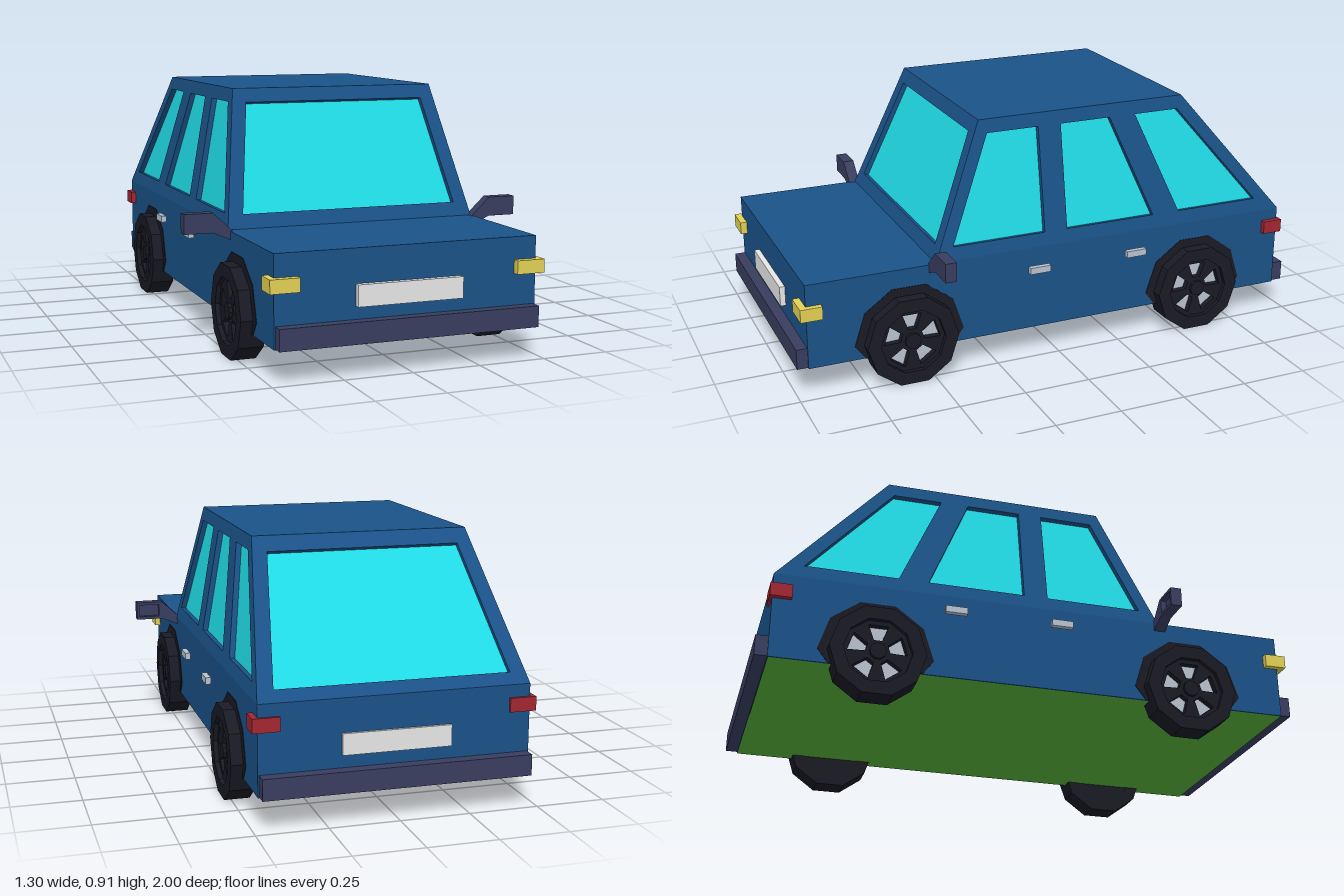
import * as THREE from 'three';

const mat = (name, color) => {
  const m = new THREE.MeshStandardMaterial({ color });
  m.name = name;
  return m;
};

// Counter-clockwise shape from [a, b] pairs, whichever way they run
const toShape = (pts) => {
  const v = pts.map(([a, b]) => new THREE.Vector2(a, b));
  return new THREE.Shape(THREE.ShapeUtils.isClockWise(v) ? v.reverse() : v);
};

export function createModel() {
  const paint = mat('bluePaint', 0x1a5288);
  const glass = mat('cyanGlass', 0x20dbe6);
  const trim = mat('slateTrim', 0x393d5f);
  const rubber = mat('blackRubber', 0x191a24);
  const alloy = mat('greyAlloy', 0xb8c2d0);
  const plateWhite = mat('plateWhite', 0xe6e6e6);
  const yellow = mat('yellowLamp', 0xe2d055);
  const red = mat('redLamp', 0xa22632);
  const green = mat('greenFloor', 0x58b038);

  const car = new THREE.Group();
  car.name = 'car';

  const add = (name, geo, material, parent = car) => {
    const mesh = new THREE.Mesh(geo, material);
    mesh.name = name;
    parent.add(mesh);
    return mesh;
  };
  // Box given by its limits on each axis
  const box = (name, material, [x0, x1], [y0, y1], [z0, z1]) => {
    const mesh = add(name, new THREE.BoxGeometry(Math.abs(x1 - x0), y1 - y0, Math.abs(z1 - z0)), material);
    mesh.position.set((x0 + x1) / 2, (y0 + y1) / 2, (z0 + z1) / 2);
  };
  const extrude = (shape, depth) =>
    new THREE.ExtrudeGeometry(shape, { depth, bevelEnabled: false });
  // Move every vertex by a rule (a, b, depth) -> [x, y, z]
  const remap = (geo, rule) => {
    const p = geo.attributes.position;
    for (let i = 0; i < p.count; i++) p.setXYZ(i, ...rule(p.getX(i), p.getY(i), p.getZ(i)));
    geo.computeVertexNormals();
    return geo;
  };

  // Lower body and floor
  box('lowerBody', paint, [-0.48, 0.48], [0.112, 0.43], [-0.955, 0.96]);
  const floor = add('floor', new THREE.PlaneGeometry(0.958, 1.912), green);
  floor.rotation.x = Math.PI / 2;
  floor.position.set(0, 0.11, 0.0025);

  // Cabin: sloping frames with window openings and glass recessed square to each face
  const sill = 0.43, top = 0.915;
  const rise = (y) => (y - sill) / (top - sill);
  const halfWidth = (y) => 0.48 - 0.085 * rise(y);
  const frontZ = (y) => 0.48 - 0.2 * rise(y);
  const rearZ = (y) => -0.955 + 0.41 * rise(y);
  const panel = (name, outline, windows, recess, rule) => {
    const shape = toShape(outline);
    windows.forEach((w) => shape.holes.push(toShape(w)));
    add(name + 'Frame', remap(extrude(shape, 0.03), (a, b, d) => rule(a, b, d - 0.03)), paint);
    windows.forEach((w) =>
      add(name + 'Glass', remap(new THREE.ShapeGeometry(toShape(w)), (a, b) => rule(a, b, -recess)), glass));
  };
  const endOutline = [[-0.48, sill], [0.48, sill], [0.395, top], [-0.395, top]];
  const endWindow = (low) => [[-0.417, low], [0.417, low], [0.35, 0.865], [-0.35, 0.865]];
  panel('windscreen', endOutline, [endWindow(0.48)], 0.02,
    (a, b, d) => [a, b + 0.381 * d, frontZ(b) + 0.925 * d]);
  panel('rearWindow', endOutline, [endWindow(0.467)], 0.015,
    (a, b, d) => [-a, b + 0.646 * d, rearZ(b) - 0.764 * d]);
  const sideOutline = [[0.48, sill], [0.28, top], [-0.545, top], [-0.955, sill]];
  const sideWindows = [
    [[0.41, 0.48], [0.25, 0.865], [0.05, 0.865], [0.05, 0.48]],
    [[-0.04, 0.48], [-0.04, 0.865], [-0.24, 0.865], [-0.4, 0.48]],
    [[-0.51, 0.48], [-0.345, 0.865], [-0.525, 0.865], [-0.85, 0.48]],
  ];
  for (const s of [-1, 1]) {
    const flip = (pts) => pts.map(([z, y]) => [-s * z, y]);
    panel(s > 0 ? 'leftSide' : 'rightSide', flip(sideOutline), sideWindows.map(flip), 0.02,
      (a, b, d) => [s * (halfWidth(b) + 0.985 * d), b + 0.173 * d, -s * a]);
  }
  box('roof', paint, [-0.395, 0.395], [0.885, top], [-0.545, 0.28]);

  // Bumpers and number plates
  box('frontBumper', trim, [-0.475, 0.475], [0.115, 0.19], [0.96, 1]);
  box('rearBumper', trim, [-0.475, 0.475], [0.115, 0.19], [-0.95, -1]);
  box('frontPlate', plateWhite, [-0.193, 0.193], [0.235, 0.31], [0.95, 0.98]);
  box('rearPlate', plateWhite, [-0.193, 0.193], [0.235, 0.31], [-0.94, -0.965]);

  // Lamps and door handles
  for (const s of [-1, 1]) {
    box('headlamp', yellow, [s * 0.397, s * 0.502], [0.302, 0.35], [0.905, 0.985]);
    box('tailLamp', red, [s * 0.405, s * 0.5], [0.335, 0.385], [-0.887, -0.965]);
    for (const z of [0.09, -0.307])
      box('doorHandle', alloy, [s * 0.505, s * 0.525], [0.345, 0.37], [z - 0.04, z + 0.04]);
  }

  // Wing mirrors: a solid shell with a hollow rim facing back
  for (const s of [-1, 1]) {
    const mirrored = (pts) => toShape(pts.map(([x, y]) => [s * x, y]));
    const arm = [[0.47, 0.395], [0.543, 0.427], [0.648, 0.427], [0.648, 0.498], [0.543, 0.498], [0.47, 0.43]];
    add('mirrorShell', extrude(mirrored(arm), 0.022), trim).position.z = 0.485;
    const rim = mirrored(arm);
    rim.holes.push(mirrored([[0.556, 0.438], [0.637, 0.438], [0.637, 0.487], [0.556, 0.487]]));
    add('mirrorRim', extrude(rim, 0.02), trim).position.z = 0.465;
  }

  // Wheels, drawn facing +z and turned outward
  const polar = (r, t) => [r * Math.cos(t), r * Math.sin(t)];
  const decagon = (r) => Array.from({ length: 10 }, (_, i) => polar(r, (i / 5) * Math.PI));
  const tyreShape = toShape(decagon(0.172));
  tyreShape.holes.push(toShape(decagon(0.122)));
  const spokeShape = toShape(decagon(0.124));
  for (let i = 0; i < 5; i++) {
    const t = Math.PI / 2 + (i * Math.PI * 2) / 5;
    spokeShape.holes.push(toShape(
      [polar(0.045, t - 0.33), polar(0.106, t - 0.34), polar(0.106, t + 0.34), polar(0.045, t + 0.33)]));
  }
  // Arch plate cut off level with the floor
  const archShape = toShape(decagon(0.206).map(([x, y]) => [x, Math.max(y, -0.052)]));

  for (const s of [-1, 1]) {
    for (const z of [0.584, -0.583]) {
      const wheel = new THREE.Group();
      wheel.name = (z > 0 ? 'front' : 'rear') + (s > 0 ? 'LeftWheel' : 'RightWheel');
      wheel.position.set(0, 0.164, z);
      wheel.rotation.y = (s * Math.PI) / 2;
      car.add(wheel);
      const disc = (name, shape, material, from, to) =>
        add(name, extrude(shape, to - from), material, wheel).position.z = from;
      disc('tyre', tyreShape, rubber, 0.433, 0.525);
      disc('innerCover', toShape(decagon(0.123)), rubber, 0.436, 0.442);
      disc('rimBacking', toShape(decagon(0.123)), alloy, 0.442, 0.484);
      disc('spokes', spokeShape, rubber, 0.484, 0.508);
      disc('hubCap', toShape(decagon(0.03)), rubber, 0.5, 0.52);
      disc('wheelArch', archShape, rubber, 0.477, 0.482);
    }
  }

  return car;
}
